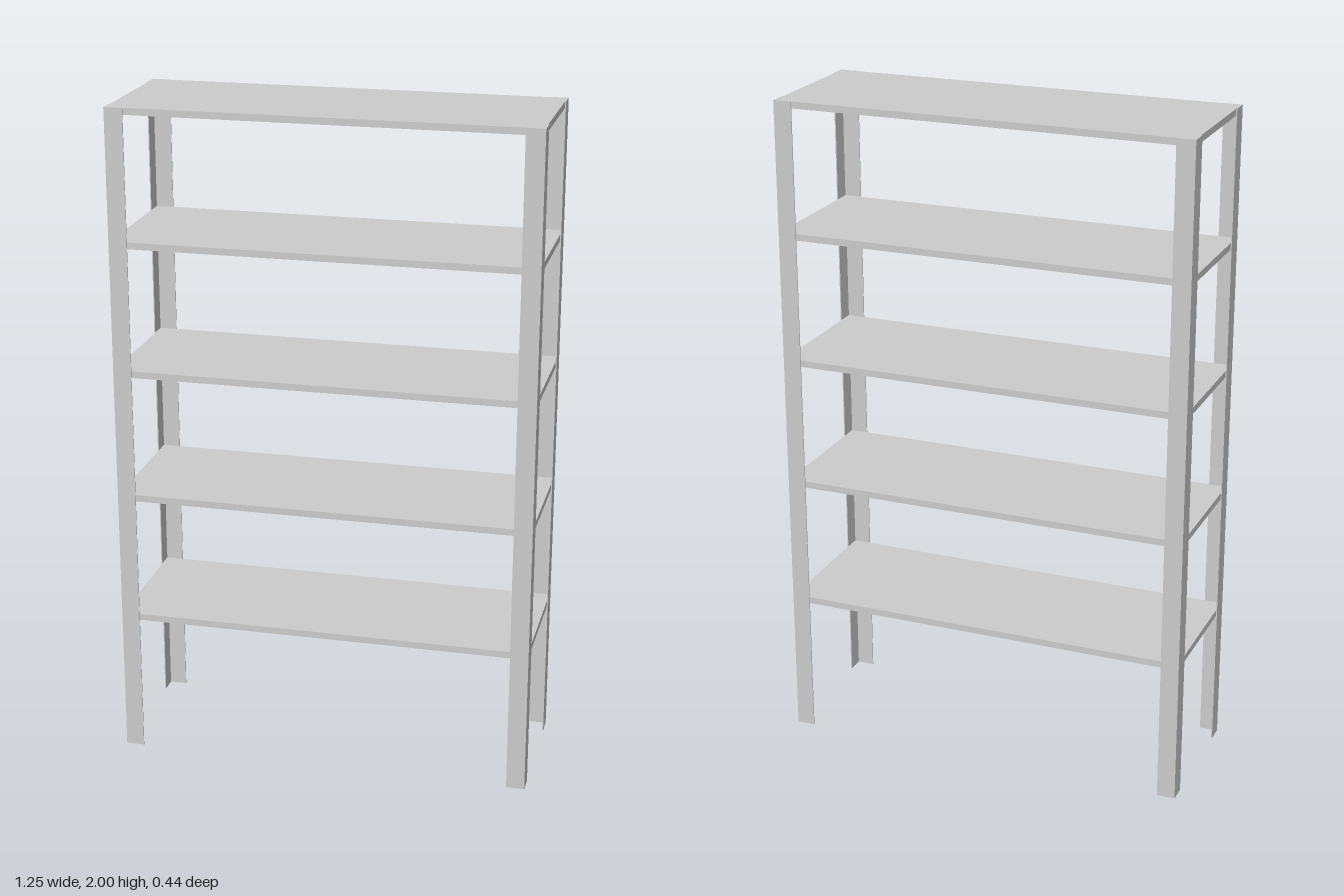
import * as THREE from 'three';

const HX = 0.625, HZ = 0.22, H = 2; // half width, half depth, height
const FLANGE = 0.055, T = 0.003;    // post flange width, sheet thickness
const LIP = 0.02;                   // folded shelf edge

const material = new THREE.MeshStandardMaterial({ color: 0xcccccc, flatShading: true, side: THREE.DoubleSide });

function box(name, w, h, d, x, y, z) {
  const mesh = new THREE.Mesh(new THREE.BoxGeometry(w, h, d), material);
  mesh.name = name;
  mesh.position.set(x, y, z);
  return mesh;
}

// L-section post with its outer corner at (sx*HX, sz*HZ)
function cornerPost(sx, sz) {
  const pts = [[0, 0], [FLANGE, 0], [FLANGE, T], [T, T], [T, FLANGE], [0, FLANGE]]
    .map(([a, b]) => new THREE.Vector2(sx * (HX - a), -sz * (HZ - b)));
  const geo = new THREE.ExtrudeGeometry(new THREE.Shape(pts), { depth: H, bevelEnabled: false });
  geo.rotateX(-Math.PI / 2);
  const mesh = new THREE.Mesh(geo, material);
  mesh.name = (sz > 0 ? 'front' : 'back') + (sx > 0 ? 'Left' : 'Right') + 'Post';
  return mesh;
}

// Sheet tray, open underneath, with edges folded down
function shelf(index, top) {
  const g = new THREE.Group();
  g.name = 'shelf' + index;
  const x = HX - T, z = HZ - T;
  g.add(box('shelfTop', 2 * x, T, 2 * z, 0, -T / 2, 0));
  const h = LIP - T, y = -T - h / 2;
  for (const s of [1, -1]) {
    g.add(box(s > 0 ? 'frontLip' : 'backLip', 2 * x, h, T, 0, y, s * (z - T / 2)));
    g.add(box(s > 0 ? 'leftLip' : 'rightLip', T, h, 2 * (z - T), s * (x - T / 2), y, 0));
  }
  g.position.y = top;
  return g;
}

export function createModel() {
  const model = new THREE.Group();
  model.name = 'shelvingUnit';
  for (const sx of [1, -1]) for (const sz of [1, -1]) model.add(cornerPost(sx, sz));
  // Five evenly spaced shelves, the last flush with the post tops
  for (let i = 0; i < 5; i++) model.add(shelf(i + 1, 0.446 + i * (H - 0.446) / 4));
  return model;
}
